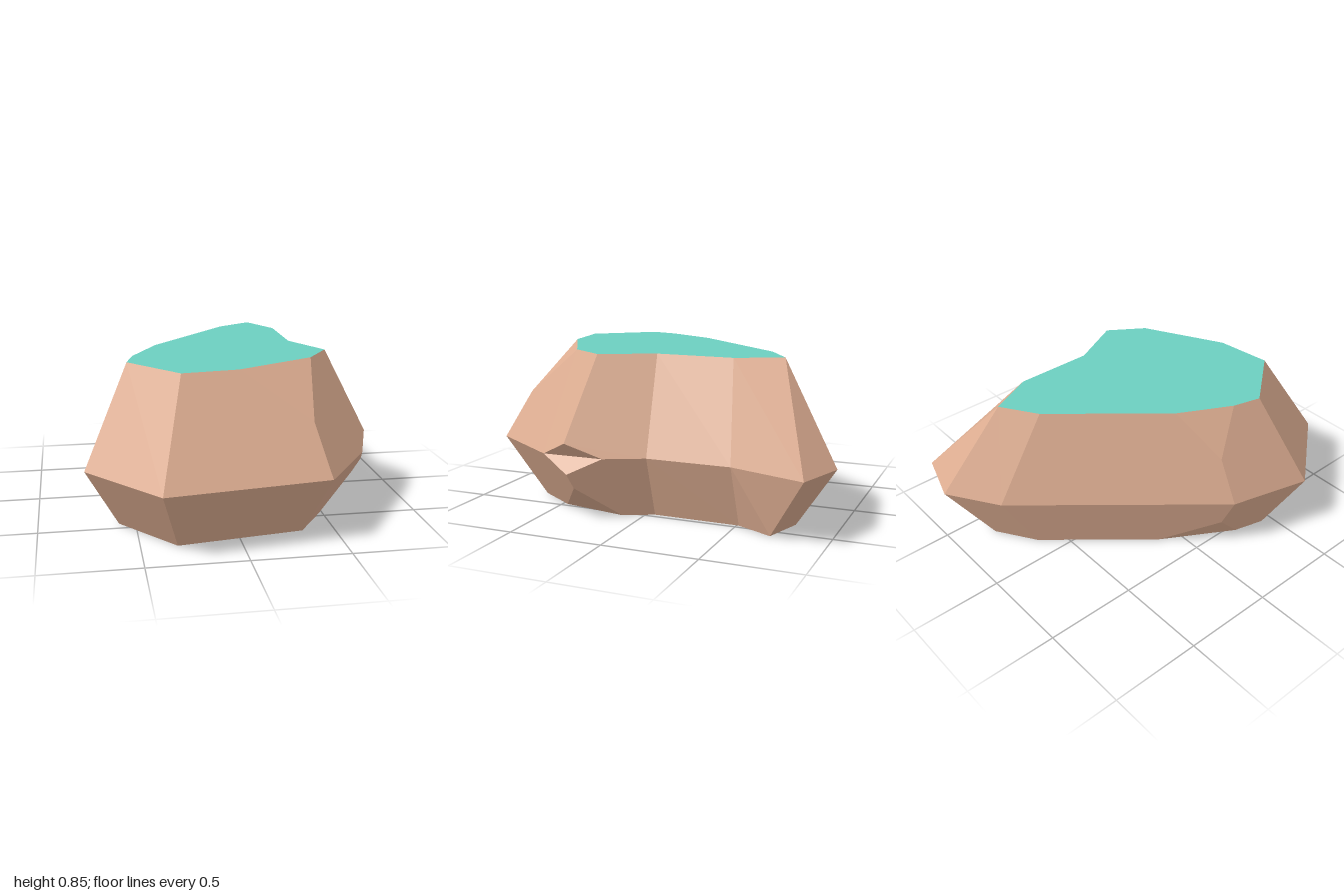
import * as THREE from 'three';

// Plan outline of the boulder (x, z), running back -> +x -> front -> -x
const OUTLINE = [
  [0.45, -1], [0.735, -0.91], [0.61, -0.66], [0.605, -0.06], [0.797, 0.34],
  [0.43, 0.88], [-0.41, 0.995], [-0.755, 0.565], [-0.64, 0.13], [0.17, -0.82],
];
// Levels of the boulder: base, waist and top, each a scaled outline
const LEVELS = [
  { y: 0, scale: 0.775 },
  { y: 0.336, scale: 1 },
  { y: 0.845, scale: 0.69 },
];
// Chipped corners: how far each chip reaches along the edges that leave the corner
const CHIPS = [
  { 4: { prev: 0.5, next: 0.5, up: 0.5 }, 8: { prev: 0.5, next: 0.29, up: 0.5 } },
  { 4: { prev: 0.5, next: 0.25, up: 0.15, down: 0.26 } },
  {
    1: { prev: 1, next: 1, down: 1 },
    5: { prev: 0.5, next: 0.5, down: 0.5 },
    8: { prev: 0.5, next: 0.19, down: 0.5 },
  },
];

const N = OUTLINE.length;
const wrap = (i) => (i + N) % N;
const rings = LEVELS.map(({ y, scale }) =>
  OUTLINE.map(([x, z]) => new THREE.Vector3(x * scale, y, z * scale)));
rings[1][2].set(0.605, LEVELS[1].y, -0.51); // hollow on the back flank

// Point where a chip meets the edge leaving corner (k, i) in a direction
function cut(k, i, dir) {
  const goal = {
    prev: () => rings[k][wrap(i - 1)],
    next: () => rings[k][wrap(i + 1)],
    up: () => rings[k + 1][i],
    down: () => rings[k - 1][i],
  }[dir]();
  return rings[k][i].clone().lerp(goal, CHIPS[k][i][dir]);
}

// A corner of a facet: one point, or two where it is chipped
function corner(k, i, from, to) {
  return CHIPS[k][i] ? [cut(k, i, from), cut(k, i, to)] : [rings[k][i]];
}

// Adds a convex facet as a fan, skipping slivers
function addFan(out, pts) {
  for (let j = 1; j < pts.length - 1; j++) {
    const tri = new THREE.Triangle(pts[0], pts[j], pts[j + 1]);
    if (tri.getArea() > 1e-6) out.push(pts[0], pts[j], pts[j + 1]);
  }
}

// Flat cap of the base or top level
function addCap(out, k, facesUp) {
  const pts = rings[k].flatMap((_, i) => corner(k, i, 'prev', 'next'))
    .filter((p, j, all) => p.distanceTo(all[(j + 1) % all.length]) > 1e-4);
  const flat = pts.map((p) => new THREE.Vector2(p.x, p.z));
  for (const [a, b, c] of THREE.ShapeUtils.triangulateShape(flat, [])) {
    const tri = new THREE.Triangle(pts[a], pts[b], pts[c]);
    const up = tri.getNormal(new THREE.Vector3()).y > 0;
    out.push(pts[a], ...(up === facesUp ? [pts[b], pts[c]] : [pts[c], pts[b]]));
  }
}

function makeMesh(name, points, color) {
  const geometry = new THREE.BufferGeometry().setFromPoints(points);
  geometry.computeVertexNormals();
  const mesh = new THREE.Mesh(geometry,
    new THREE.MeshStandardMaterial({ color, flatShading: true }));
  mesh.name = name;
  return mesh;
}

export function createModel() {
  const rock = [];
  const grass = [];

  // Side facets of the lower and upper bands
  for (let k = 0; k < 2; k++) {
    for (let i = 0; i < N; i++) {
      const n = wrap(i + 1);
      addFan(rock, [
        ...corner(k, i, 'next', 'up'),
        ...corner(k + 1, i, 'down', 'next'),
        ...corner(k + 1, n, 'prev', 'down'),
        ...corner(k, n, 'up', 'prev'),
      ]);
    }
  }

  // Facets left by the chips
  CHIPS.forEach((chips, k) => {
    for (const key of Object.keys(chips)) {
      const i = Number(key);
      const prev = cut(k, i, 'prev');
      const next = cut(k, i, 'next');
      if (chips[key].up) addFan(rock, [next, prev, cut(k, i, 'up')]);
      if (chips[key].down) addFan(rock, [prev, next, cut(k, i, 'down')]);
    }
  });

  // Underside and grassy top
  addCap(rock, 0, false);
  addCap(grass, 2, true);

  const group = new THREE.Group();
  group.name = 'boulder';
  group.add(makeMesh('rockBody', rock, 0xdeae92), makeMesh('grassTop', grass, 0x6ccfc0));
  return group;
}
